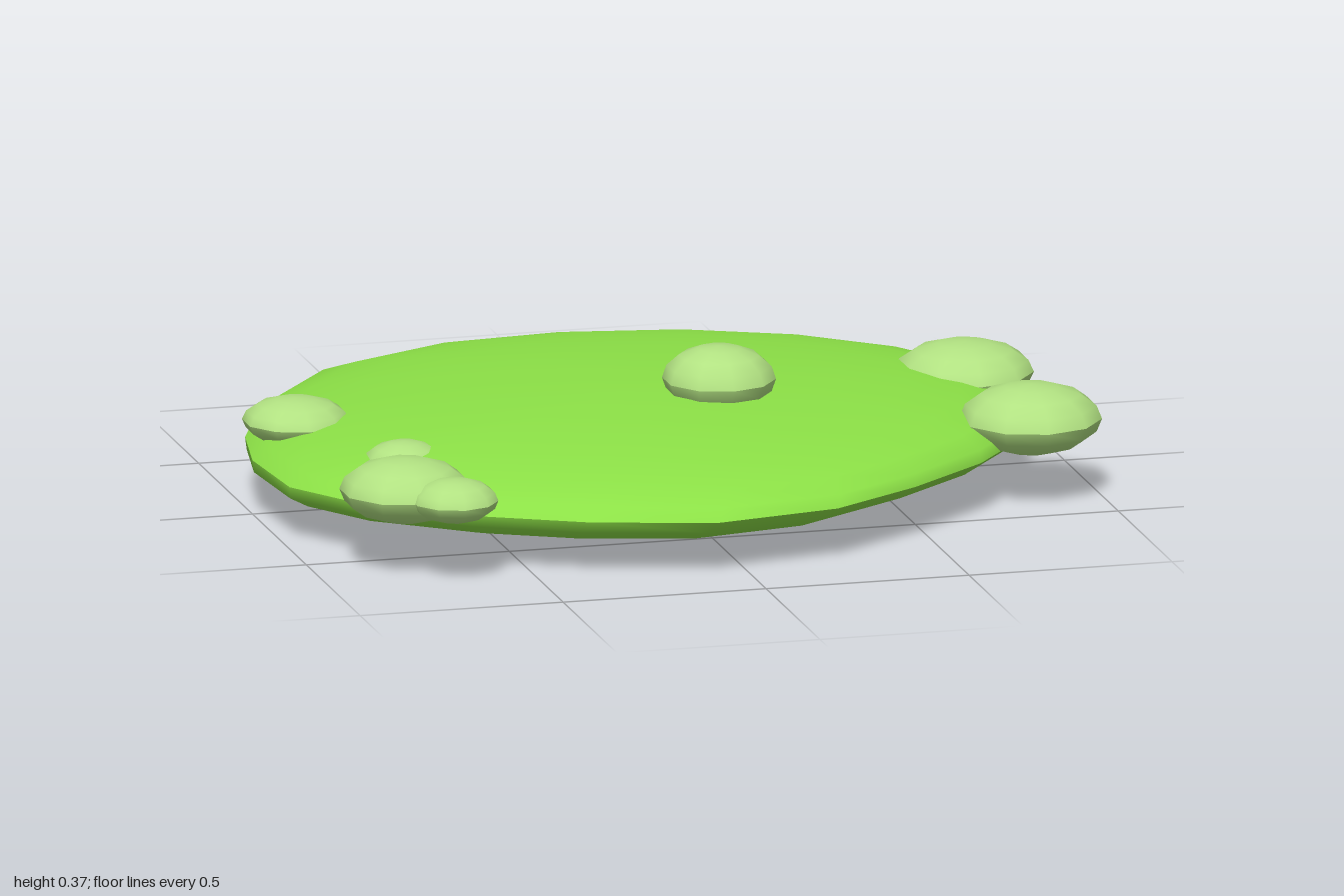
import * as THREE from 'three';
import { mergeVertices, mergeGeometries } from 'three/addons/utils/BufferGeometryUtils.js';

// Rim outline [x, z], from the model's right side round through the front
const RIM = [
  [-1, 0], [-0.98, 0.27], [-0.86, 0.46], [-0.62, 0.65], [-0.37, 0.78],
  [-0.08, 0.86], [0.23, 0.8], [0.46, 0.65], [0.67, 0.47], [0.83, 0.26],
  [0.9, 0], [0.89, -0.25], [0.74, -0.49], [0.52, -0.68], [0.24, -0.81],
  [-0.08, -0.865], [-0.4, -0.835], [-0.68, -0.7], [-0.86, -0.47], [-0.96, -0.22],
];

// Bumps: x, y, z, radius, half height
const BUMPS = [
  [0.12, 0.29, 0.11, 0.136, 0.08],
  [0.835, 0.195, 0.31, 0.17, 0.083],
  [0.785, 0.206, -0.123, 0.167, 0.073],
  [-0.862, 0.195, -0.12, 0.128, 0.055],
  [-0.78, 0.195, 0.588, 0.157, 0.076],
  [-0.695, 0.197, 0.725, 0.105, 0.052],
  [-0.7, 0.18, 0.28, 0.1, 0.052],
];

// Ball of two domes, reshaped by place(x, y, z, column), with a sharp edge at the middle
function domedBall(columns, rings, place) {
  const domes = [0, Math.PI / 2].map((start) => {
    const geo = new THREE.SphereGeometry(1, columns, rings / 2, 0, Math.PI * 2, start, Math.PI / 2);
    const pos = geo.attributes.position;
    for (let i = 0; i < pos.count; i++) {
      const column = (i % (columns + 1)) % columns;
      pos.setXYZ(i, ...place(pos.getX(i), pos.getY(i), pos.getZ(i), column));
    }
    // Weld each dome so it is smooth all round
    geo.deleteAttribute('uv');
    geo.deleteAttribute('normal');
    const welded = mergeVertices(geo, 1e-5);
    welded.computeVertexNormals();
    return welded;
  });
  return mergeGeometries(domes);
}

export function createModel() {
  const model = new THREE.Group();
  model.name = 'bumpyDisc';

  const leafGreen = new THREE.MeshStandardMaterial({ color: 0x8ce046 });
  leafGreen.name = 'leafGreen';
  const paleGreen = new THREE.MeshStandardMaterial({ color: 0xb2e282 });
  paleGreen.name = 'paleGreen';

  // Main body: rings follow the uneven rim and lean slightly to +x
  const centreX = -0.06, halfHeight = 0.132, lean = 0.09;
  const disc = new THREE.Mesh(domedBall(RIM.length, 14, (x, y, z, column) => {
    const [rimX, rimZ] = RIM[column];
    const s = Math.hypot(x, z);
    return [centreX + s * (rimX - centreX) + lean * y, 0.134 + halfHeight * y, s * rimZ];
  }), leafGreen);
  disc.name = 'disc';
  model.add(disc);

  // Bumps on the top and round the rim
  BUMPS.forEach(([bx, by, bz, r, h], i) => {
    const bump = new THREE.Mesh(domedBall(10, 8, (x, y, z) => [x * r, y * h, z * r]), paleGreen);
    bump.name = `bump${i + 1}`;
    bump.position.set(bx, by, bz);
    bump.rotation.y = Math.PI / 10;
    model.add(bump);
  });

  return model;
}
